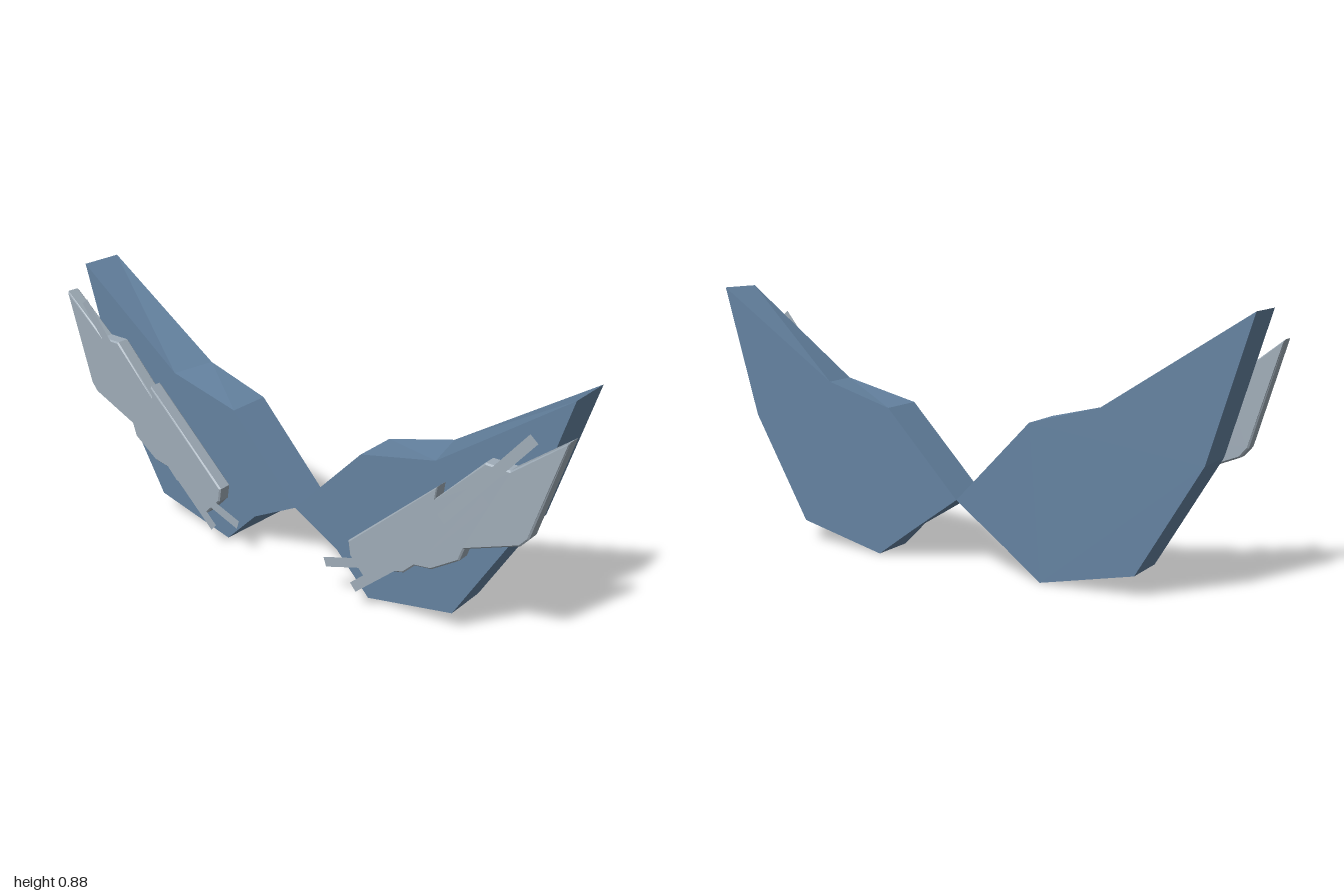
import * as THREE from 'three';

const wingBlue = new THREE.MeshStandardMaterial({ color: 0x6482a0 });
const featherGrey = new THREE.MeshStandardMaterial({ color: 0x9facb7, side: THREE.DoubleSide });
wingBlue.name = 'wingBlue';
featherGrey.name = 'featherGrey';

// Outlines of the left (+x) side; the right side mirrors them.
const WING = [
  [0, 0.225], [0.18, 0.13], [0.31, 0], [0.63, 0.073], [0.84, 0.43],
  [0.973, 0.875], [0.543, 0.567], [0.267, 0.503],
];
const PANEL = [
  [0.275, 0.23], [0.283, 0.18], [0.345, 0.115], [0.375, 0.125], [0.42, 0.175], [0.49, 0.195],
  [0.53, 0.235], [0.59, 0.245], [0.685, 0.31], [0.70, 0.355], [0.88, 0.43], [0.905, 0.46],
  [1, 0.785], [0.83, 0.65], [0.75, 0.65], [0.592, 0.485], [0.597, 0.525],
];
const STRIPS = [
  [[0.9, 0.77], [0.62, 0.43], [0.365, 0.185], [0.19, 0.125]],
  [[0.765, 0.54], [0.565, 0.31], [0.305, 0.075]],
];

const outline = (points, side) =>
  new THREE.Shape(points.map(([x, y]) => new THREE.Vector2(x * side, y)));

// Thick faceted wing whose rear edge is a little fuller than its front edge
function wingGeometry(side) {
  const geo = new THREE.ExtrudeGeometry(outline(WING, side), { depth: 0.15, bevelEnabled: false });
  geo.translate(0, 0, -0.12);
  const p = geo.attributes.position;
  const at = (i, [x, y]) => Math.abs(p.getX(i) - x * side) + Math.abs(p.getY(i) - y) < 1e-4;
  for (let i = 0; i < p.count; i++) {
    if (p.getZ(i) > -0.06) continue;
    if (at(i, WING[1])) p.setXY(i, 0.18 * side, 0.096);
    else if (at(i, WING[6])) p.setXY(i, 0.51 * side, 0.572);
  }
  geo.computeVertexNormals();
  return geo;
}

// Flat ribbon of constant width along a bent path
function stripGeometry(path, side, width = 0.034) {
  const pts = path.map(([x, y]) => new THREE.Vector2(x, y));
  const edges = [[], []];
  pts.forEach((pt, i) => {
    const a = pts[Math.max(i - 1, 0)], b = pts[Math.min(i + 1, pts.length - 1)];
    const d = b.clone().sub(a).normalize().multiplyScalar(width / 2);
    edges[0].push([pt.x - d.y, pt.y + d.x]);
    edges[1].unshift([pt.x + d.y, pt.y - d.x]);
  });
  return new THREE.ShapeGeometry(outline([...edges[0], ...edges[1]], side));
}

function createSide(side) {
  const group = new THREE.Group();
  group.name = side > 0 ? 'leftWing' : 'rightWing';
  const add = (name, geo, mat) => {
    const mesh = new THREE.Mesh(geo, mat);
    mesh.name = name;
    group.add(mesh);
    return mesh;
  };
  add('wingBody', wingGeometry(side), wingBlue);
  // Stepped feather plate with a slight bevel, floating in front
  const bevel = 0.005;
  add('featherPanel', new THREE.ExtrudeGeometry(outline(PANEL, side), {
    depth: 0.05 - 2 * bevel, bevelThickness: bevel, bevelSize: bevel, bevelOffset: -bevel, bevelSegments: 1,
  }), featherGrey).position.z = 0.05 + bevel;
  // Thin quills over the plate
  STRIPS.forEach((path, i) => {
    add('quillStrip' + (i + 1), stripGeometry(path, side), featherGrey).position.z = 0.107;
  });
  return group;
}

export function createModel() {
  const model = new THREE.Group();
  model.name = 'wings';
  for (const side of [1, -1]) model.add(createSide(side));
  return model;
}
